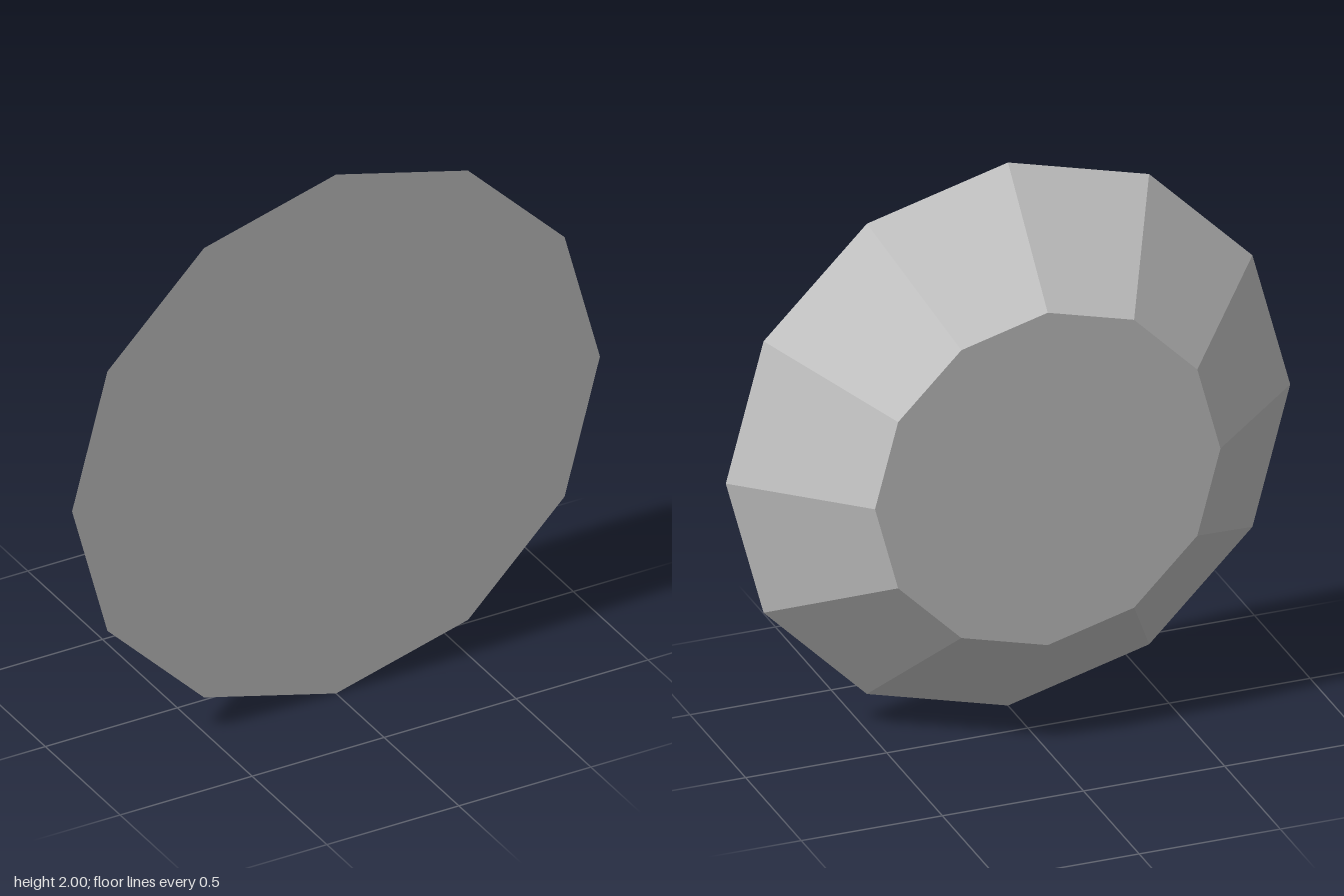
import * as THREE from 'three';

export function createModel() {
  const model = new THREE.Group();
  model.name = 'taperedDisc';

  const grey = new THREE.MeshStandardMaterial({ color: 0xcccccc, flatShading: true });
  grey.name = 'lightGrey';

  // Twelve-sided frustum: wide face to the front, narrow face to the back
  const frontRadius = 1, backRadius = 0.612, depth = 0.357, sides = 12;
  const geometry = new THREE.CylinderGeometry(frontRadius, backRadius, depth, sides);
  geometry.rotateX(Math.PI / 2);

  const disc = new THREE.Mesh(geometry, grey);
  disc.name = 'disc';
  disc.position.y = frontRadius;
  model.add(disc);

  return model;
}
